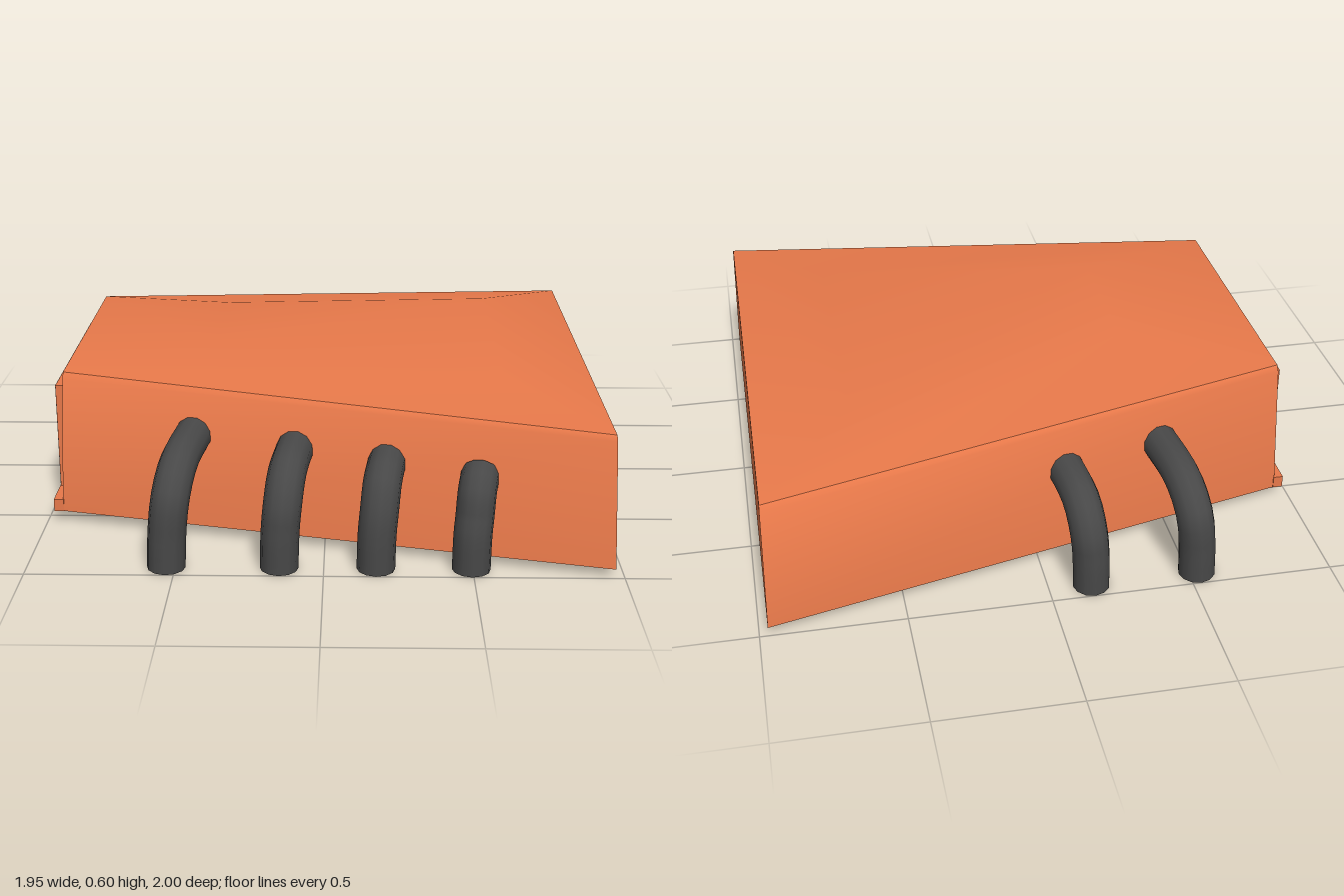
import * as THREE from 'three';
import { toCreasedNormals } from 'three/addons/utils/BufferGeometryUtils.js';

const paint = new THREE.MeshStandardMaterial({ color: 0xe8794a });
const grey = new THREE.MeshStandardMaterial({ color: 0xcccccc });
const rubber = new THREE.MeshStandardMaterial({ color: 0x484848 });

function add(parent, name, geometry, material) {
  const mesh = new THREE.Mesh(geometry, material);
  mesh.name = name;
  parent.add(mesh);
  return mesh;
}

// Four corners of a level: nose and rear given as [x, y, half width]
function ring([nx, ny, nz], [rx, ry, rz]) {
  return [[nx, ny, nz], [rx, ry, rz], [rx, ry, -rz], [nx, ny, -nz]];
}

function quadGeometry(quads) {
  const pos = [];
  for (const [a, b, c, d] of quads) pos.push(...a, ...b, ...c, ...a, ...c, ...d);
  const g = new THREE.BufferGeometry();
  g.setAttribute('position', new THREE.Float32BufferAttribute(pos, 3));
  g.computeVertexNormals();
  return g;
}

// Rectangular frame facing -x, from x0 forward to x1
function frameGeometry(halfW, y0, y1, holeW, h0, h1, x0, x1) {
  const rect = (w, a, b) => [[-w, a], [w, a], [w, b], [-w, b]].map((p) => new THREE.Vector2(...p));
  const shape = new THREE.Shape(rect(halfW, y0, y1));
  shape.holes.push(new THREE.Path(rect(holeW, h0, h1)));
  const g = new THREE.ExtrudeGeometry(shape, { depth: x0 - x1, bevelEnabled: false });
  return g.rotateY(-Math.PI / 2).translate(x0, 0, 0);
}

export function createModel() {
  const model = new THREE.Group();
  model.name = 'engineHood';

  // Tapered hood shell: skirt, softened edge, crown
  const rings = [
    ring([-0.945, 0.04, 0.552], [0.97, 0.03, 0.995]),
    ring([-0.926, 0.53, 0.522], [0.961, 0.457, 0.93]),
    ring([-0.925, 0.55, 0.508], [0.96, 0.475, 0.915]),
    ring([-0.4, 0.595, 0.26], [0.62, 0.55, 0.5]),
  ];
  const quads = [];
  for (let k = 0; k < 3; k++) {
    for (let i = 0; i < 4; i++) {
      const j = (i + 1) % 4;
      const face = [rings[k][i], rings[k][j], rings[k + 1][j], rings[k + 1][i]];
      if (k > 0 || i < 3) { quads.push(face); continue; }
      // Nose face with the grille opening
      const hole = [[-0.38, 0.11], [0.38, 0.11], [0.38, 0.44], [-0.38, 0.44]]
        .map(([z, y]) => [-0.945 + (y - 0.04) * 0.039, y, z]);
      for (let n = 0; n < 4; n++) {
        const m = (n + 1) % 4;
        quads.push([face[n], face[m], hole[m], hole[n]]);
      }
    }
  }
  quads.push(rings[3]);
  add(model, 'hoodShell', toCreasedNormals(quadGeometry(quads), 0.7), paint);

  // Floor plate
  add(model, 'floorPlate', quadGeometry([[...rings[0]].reverse()]), grey);

  // Grille on the nose
  const grille = new THREE.Group();
  grille.name = 'grille';
  model.add(grille);
  add(grille, 'grilleCollar', frameGeometry(0.42, 0.06, 0.47, 0.41, 0.08, 0.465, -0.925, -0.973), paint);
  add(grille, 'grilleFrame', frameGeometry(0.412, 0.07, 0.468, 0.35, 0.13, 0.42, -0.89, -0.975), grey);
  add(grille, 'grillePanel', new THREE.BoxGeometry(0.02, 0.34, 0.76), grey).position.set(-0.892, 0.275, 0);
  add(grille, 'grilleSill', new THREE.BoxGeometry(0.035, 0.045, 0.84), grey).position.set(-0.9575, 0.0625, 0);
  for (const s of [1, -1]) {
    add(grille, 'lipEnd', new THREE.BoxGeometry(0.035, 0.045, 0.135), paint).position.set(-0.9575, 0.0625, s * 0.4875);
  }

  // Exhaust pipes: foot x, end x, end z, end y
  const pipes = [
    [-0.53, -0.455, 0.6, 0.365, [1, -1]],
    [-0.15, -0.1, 0.68, 0.345, [1, -1]],
    [0.175, 0.215, 0.75, 0.325, [1]],
    [0.495, 0.525, 0.83, 0.305, [1]],
  ];
  for (const [x0, x1, z1, y1, sides] of pipes) {
    for (const s of sides) {
      const at = (t, y, z) => new THREE.Vector3(x0 + (x1 - x0) * t, y, s * z);
      const bend = 0.935 + (z1 - 0.935) * 0.3;
      const path = new THREE.CatmullRomCurve3([
        at(0, 0, 0.935), at(0.08, 0.13, 0.935), at(0.25, y1 - 0.12, 0.925),
        at(0.5, y1 - 0.035, bend), at(1, y1, z1),
      ]);
      const pipe = new THREE.Group();
      pipe.name = 'exhaustPipe';
      model.add(pipe);
      const tube = new THREE.TubeGeometry(path, 12, 0.065, 12, false);
      // Keep the foot flat on the ground
      const p = tube.attributes.position;
      for (let i = 0; i < p.count; i++) p.setY(i, Math.max(0, p.getY(i)));
      add(pipe, 'pipeTube', tube, rubber);
      const foot = add(pipe, 'pipeFoot', new THREE.CircleGeometry(0.065, 12), rubber);
      foot.rotation.x = Math.PI / 2;
      foot.position.set(x0, 0.001, s * 0.935);
    }
  }
  return model;
}
